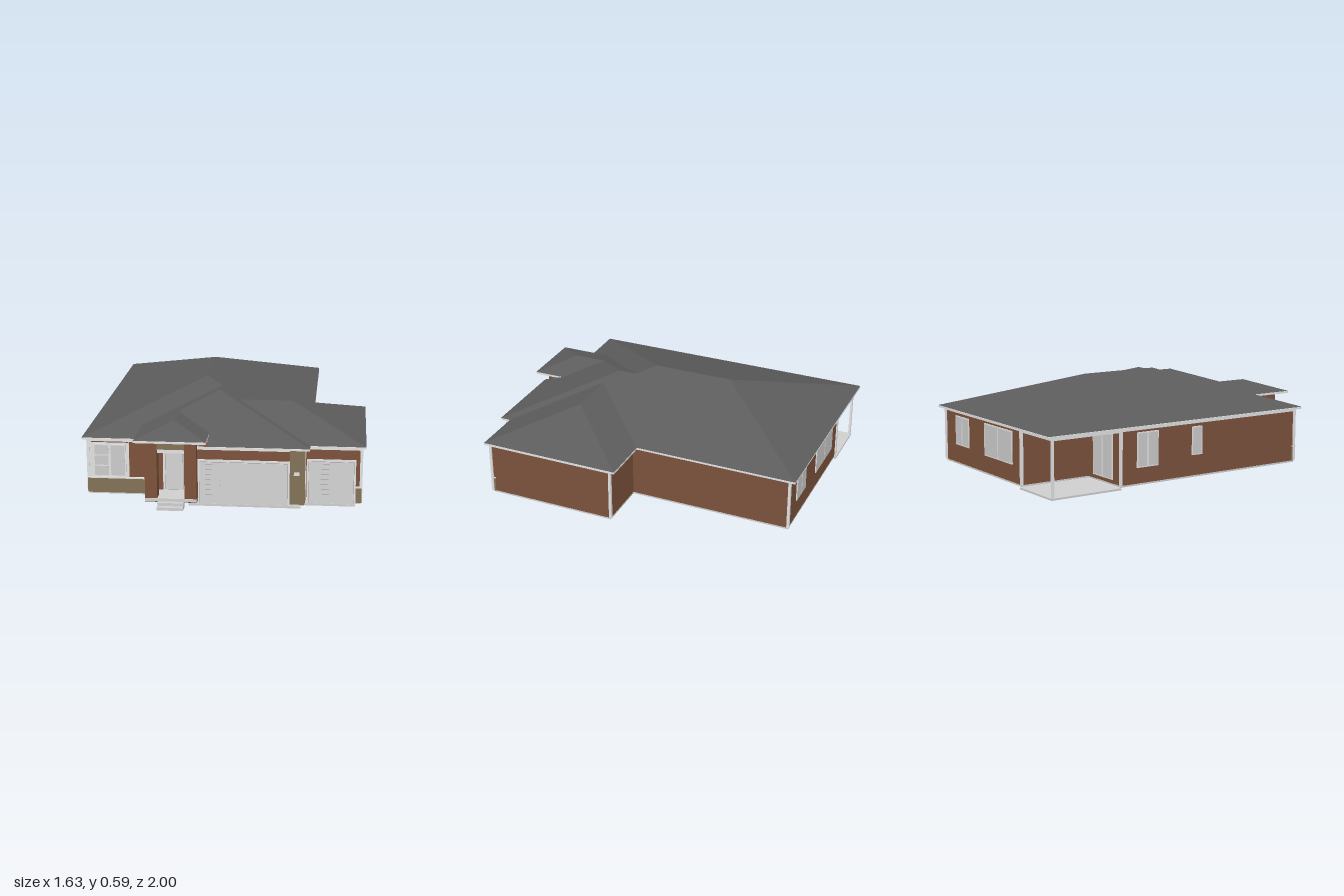
import * as THREE from 'three';

const paint = (name, color, side = THREE.FrontSide) => {
  const m = new THREE.MeshStandardMaterial({ color, side });
  m.name = name;
  return m;
};

export function createModel() {
  const house = new THREE.Group();
  house.name = 'house';
  const roofing = paint('roofShingle', 0x5c5c5c, THREE.DoubleSide);
  const brick = paint('brick', 0x7c523c);
  const stone = paint('stone', 0x837256);
  const trim = paint('trim', 0xe2e2e2);
  const glass = paint('paleGlass', 0xcccccc);
  const panel = paint('doorPanel', 0xd4d4d4);
  const concrete = paint('concrete', 0xcfcfcf);
  const groove = paint('groove', 0x9a9a9a);

  const add = (name, geo, mat, parent = house) => {
    const m = new THREE.Mesh(geo, mat);
    m.name = name;
    parent.add(m);
    return m;
  };
  // Box given by its limits on each axis
  const box = (name, mat, x0, x1, y0, y1, z0, z1, parent = house) => {
    const m = add(name, new THREE.BoxGeometry(x1 - x0, y1 - y0, z1 - z0), mat, parent);
    m.position.set((x0 + x1) / 2, (y0 + y1) / 2, (z0 + z1) / 2);
    return m;
  };
  const outline = pts => pts.map(([x, z]) => new THREE.Vector2(x, -z));
  // Upright prism over a plan outline of (x, z) points
  const prism = (name, mat, pts, y0, y1, hole) => {
    const s = new THREE.Shape(outline(pts));
    if (hole) s.holes.push(new THREE.Path(outline(hole)));
    const g = new THREE.ExtrudeGeometry(s, { depth: y1 - y0, bevelEnabled: false });
    g.rotateX(-Math.PI / 2).translate(0, y0, 0);
    return add(name, g, mat);
  };
  // Roof plane: plan outline lifted by a height rule
  const slope = (name, pts, height) => {
    const g = new THREE.ShapeGeometry(new THREE.Shape(outline(pts))).rotateX(-Math.PI / 2);
    const p = g.attributes.position;
    for (let i = 0; i < p.count; i++) p.setY(i, height(p.getX(i), p.getZ(i)));
    g.computeVertexNormals();
    return add(name, g, roofing);
  };

  // Walls
  const plan = [[-0.455, -0.96], [0.47, -0.96], [0.47, 0.04], [0.79, 0.04], [0.79, 0.84], [0.47, 0.84],
    [0.47, 0.9], [-0.14, 0.9], [-0.14, 0.785], [-0.79, 0.785], [-0.79, -0.51], [-0.455, -0.51]];
  prism('walls', brick, plan, 0.028, 0.354);

  // White frieze under the eaves, with the patio beams
  const band = (name, a, b, y0, y1, t) => {
    const dx = b[0] - a[0], dz = b[1] - a[1];
    const m = add(name, new THREE.BoxGeometry(Math.abs(dx) + t, y1 - y0, Math.abs(dz) + t), trim);
    m.position.set((a[0] + b[0]) / 2, (y0 + y1) / 2, (a[1] + b[1]) / 2);
  };
  plan.forEach((a, i) => band('frieze', a, plan[(i + 1) % plan.length], 0.338, 0.354, 0.012));
  band('patioBeam', [-0.455, -0.96], [-0.79, -0.96], 0.335, 0.354, 0.014);
  band('patioBeam', [-0.79, -0.96], [-0.79, -0.51], 0.335, 0.354, 0.014);

  // Corner boards and the patio post
  for (const [x, z] of [[-0.455, -0.96], [0.47, -0.96], [0.79, 0.04], [0.79, 0.84], [0.47, 0.9],
    [-0.79, 0.785], [-0.79, -0.51]]) {
    box('cornerBoard', trim, x - 0.008, x + 0.008, 0.028, 0.345, z - 0.008, z + 0.008);
  }
  box('patioPost', trim, -0.797, -0.783, 0.015, 0.34, -0.967, -0.953);

  // Floors
  prism('floor', concrete, plan, 0.018, 0.0275, [[-0.19, -0.07], [0.22, -0.07], [0.22, 0.01], [-0.19, 0.01]]);
  prism('garageSlab', concrete, [[-0.19, 0.27], [0.25, 0.27], [0.25, 0.06], [0.76, 0.06], [0.76, 0.85],
    [0.45, 0.85], [0.45, 0.91], [-0.19, 0.91]], 0.004, 0.0175);
  box('patioSlab', concrete, -0.795, -0.45, 0.005, 0.016, -0.97, -0.51);

  // Eave slab, open above the patio
  const eaves = [[-0.82, -1], [0.5, -1], [0.5, 0], [0.815, 0], [0.815, 0.87], [0.5, 0.87], [0.5, 0.935],
    [-0.08, 0.935], [-0.08, 0.8], [-0.49, 0.8], [-0.49, 0.82], [-0.82, 0.82]];
  prism('eaves', trim, eaves, 0.353, 0.364, [[-0.78, -0.95], [-0.46, -0.95], [-0.46, -0.52], [-0.78, -0.52]]);
  box('entryEave', trim, -0.49, -0.08, 0.395, 0.4075, 0.69, 1);

  // Roof planes, all rising one in three from the eaves
  const E = 0.3655, N = 0.4085;
  const left = x => E + (x + 0.82) / 3, right = x => E + (0.5 - x) / 3;
  slope('mainRoofLeft', [[-0.82, -1], [-0.16, -0.34], [-0.16, 0.16], [-0.82, 0.82]], left);
  slope('mainRoofBack', [[-0.82, -1], [0.5, -1], [-0.16, -0.34]], (x, z) => E + (z + 1) / 3);
  slope('mainRoofRight', [[0.5, -1], [0.5, 0], [0.065, 0.435], [0.5, 0.87], [0.5, 0.935], [-0.06, 0.375],
    [-0.06, 0.26], [-0.16, 0.16], [-0.16, -0.34]], right);
  slope('mainRoofFront', [[-0.82, 0.82], [-0.16, 0.16], [-0.06, 0.26], [-0.49, 0.69], [-0.08, 0.69],
    [-0.08, 0.82]], (x, z) => E + (0.82 - z) / 3);
  slope('garageRoofLeft', [[-0.06, 0.26], [-0.06, 0.375], [-0.49, 0.805], [-0.49, 0.69]], x => E + (x + 0.62) / 3);
  slope('garageRoofFront', [[-0.06, 0.375], [0.5, 0.935], [-0.08, 0.935], [-0.08, 0.805], [-0.49, 0.805]],
    (x, z) => E + (0.935 - z) / 3);
  slope('wingRoofBack', [[0.065, 0.435], [0.5, 0], [0.815, 0], [0.38, 0.435]], (x, z) => E + z / 3);
  slope('wingRoofFront', [[0.065, 0.435], [0.38, 0.435], [0.815, 0.87], [0.5, 0.87]], (x, z) => E + (0.87 - z) / 3);
  slope('wingRoofRight', [[0.815, 0], [0.815, 0.87], [0.38, 0.435]], x => E + (0.815 - x) / 3);
  slope('entryRoofLeft', [[-0.49, 0.69], [-0.49, 1], [-0.285, 0.795], [-0.285, 0.6], [-0.49, 0.8]].slice(0, 4),
    x => N + (x + 0.49) / 3);
  slope('entryRoofRight', [[-0.08, 1], [-0.08, 0.805], [-0.285, 0.6], [-0.285, 0.795]], x => N + (-0.08 - x) / 3);
  slope('entryRoofFront', [[-0.49, 1], [-0.08, 1], [-0.285, 0.795]], (x, z) => N + (1 - z) / 3);

  // Window of side-by-side panes, facing +z before it is turned
  const makeWindow = (name, w, y0, y1, x, z, turn, rows) => {
    const g = new THREE.Group();
    g.name = name;
    box('frame', trim, -w / 2, w / 2, y0, y1, -0.003, 0.005, g);
    const cw = w / rows.length, b = 0.007;
    rows.forEach((n, i) => {
      const h = (y1 - y0 - b) / n;
      for (let j = 0; j < n; j++) {
        const px = -w / 2 + i * cw, py = y0 + b / 2 + j * h;
        box('pane', glass, px + b, px + cw - b, py + b / 2, py + h - b / 2, 0, 0.0065, g);
      }
    });
    g.position.set(x, 0, z);
    g.rotation.y = turn;
    house.add(g);
  };
  const BACK = Math.PI, SIDE = -Math.PI / 2;
  makeWindow('smallBackWindow', 0.17, 0.14, 0.32, 0.255, -0.96, BACK, [1, 1]);
  makeWindow('largeBackWindow', 0.33, 0.13, 0.325, -0.19, -0.96, BACK, [1, 1]);
  makeWindow('patioDoor', 0.2, 0.05, 0.315, -0.61, -0.51, BACK, [1, 1]);
  makeWindow('largeSideWindow', 0.15, 0.12, 0.325, -0.79, -0.325, SIDE, [1, 1]);
  makeWindow('smallSideWindow', 0.075, 0.15, 0.32, -0.79, 0.03, SIDE, [1]);

  // Front left bay: pale surround, window, stone base
  box('bayPanel', trim, -0.79, -0.55, 0.12, 0.34, 0.78, 0.79);
  box('bayStripe', brick, -0.77, -0.555, 0.332, 0.337, 0.785, 0.792);
  makeWindow('frontWindow', 0.19, 0.127, 0.322, -0.6625, 0.791, 0, [3, 1]);
  box('stoneBase', stone, -0.795, -0.435, 0.028, 0.115, 0.77, 0.795);
  box('stoneSill', trim, -0.795, -0.435, 0.115, 0.123, 0.77, 0.798);

  // Entry porch
  for (const x of [-0.436, -0.21]) {
    box('porchColumn', brick, x, x + 0.07, 0.03, 0.395, 0.87, 0.94);
    box('porchSideBeam', brick, x, x + 0.07, 0.34, 0.395, 0.785, 0.87);
  }
  box('porchHeader', stone, -0.366, -0.21, 0.34, 0.395, 0.785, 0.932);
  box('headerTrim', trim, -0.366, -0.21, 0.318, 0.34, 0.785, 0.928);
  box('porchFloor', concrete, -0.436, -0.14, 0.035, 0.052, 0.78, 0.944);
  box('upperStep', concrete, -0.362, -0.212, 0.017, 0.035, 0.93, 0.97);
  box('lowerStep', concrete, -0.362, -0.212, 0, 0.017, 0.93, 1);
  box('doorFrame', trim, -0.352, -0.22, 0.05, 0.295, 0.78, 0.793);
  box('doorGroove', groove, -0.339, -0.233, 0.057, 0.284, 0.79, 0.7945);
  box('frontDoor', panel, -0.336, -0.236, 0.06, 0.281, 0.79, 0.798);

  // Garage doors with pressed panel lines
  const garageDoor = (x0, x1, z) => {
    box('garageFrame', trim, x0 - 0.012, x1 + 0.012, 0.012, 0.28, z - 0.01, z + 0.004);
    box('garageReveal', groove, x0 - 0.002, x1 + 0.002, 0.008, 0.267, z - 0.005, z + 0.0055);
    box('garageDoor', panel, x0, x1, 0.008, 0.265, z - 0.005, z + 0.008);
    for (let i = 0; i < 7; i++) {
      const y = 0.07 + i * 0.03;
      box('panelLine', groove, x0 + 0.03, x0 + 0.12, y, y + 0.0012, z, z + 0.0086);
    }
  };
  garageDoor(-0.125, 0.375, 0.9);
  garageDoor(0.492, 0.748, 0.84);

  // Stone pier with lamp, and stone base by the small garage
  box('stonePier', stone, 0.387, 0.474, 0.028, 0.354, 0.86, 0.912);
  box('pierLamp', trim, 0.41, 0.442, 0.202, 0.22, 0.91, 0.92);
  box('wingStoneBase', stone, 0.76, 0.794, 0.028, 0.115, 0.82, 0.85);
  box('wingSill', trim, 0.76, 0.794, 0.115, 0.123, 0.82, 0.852);

  return house;
}
